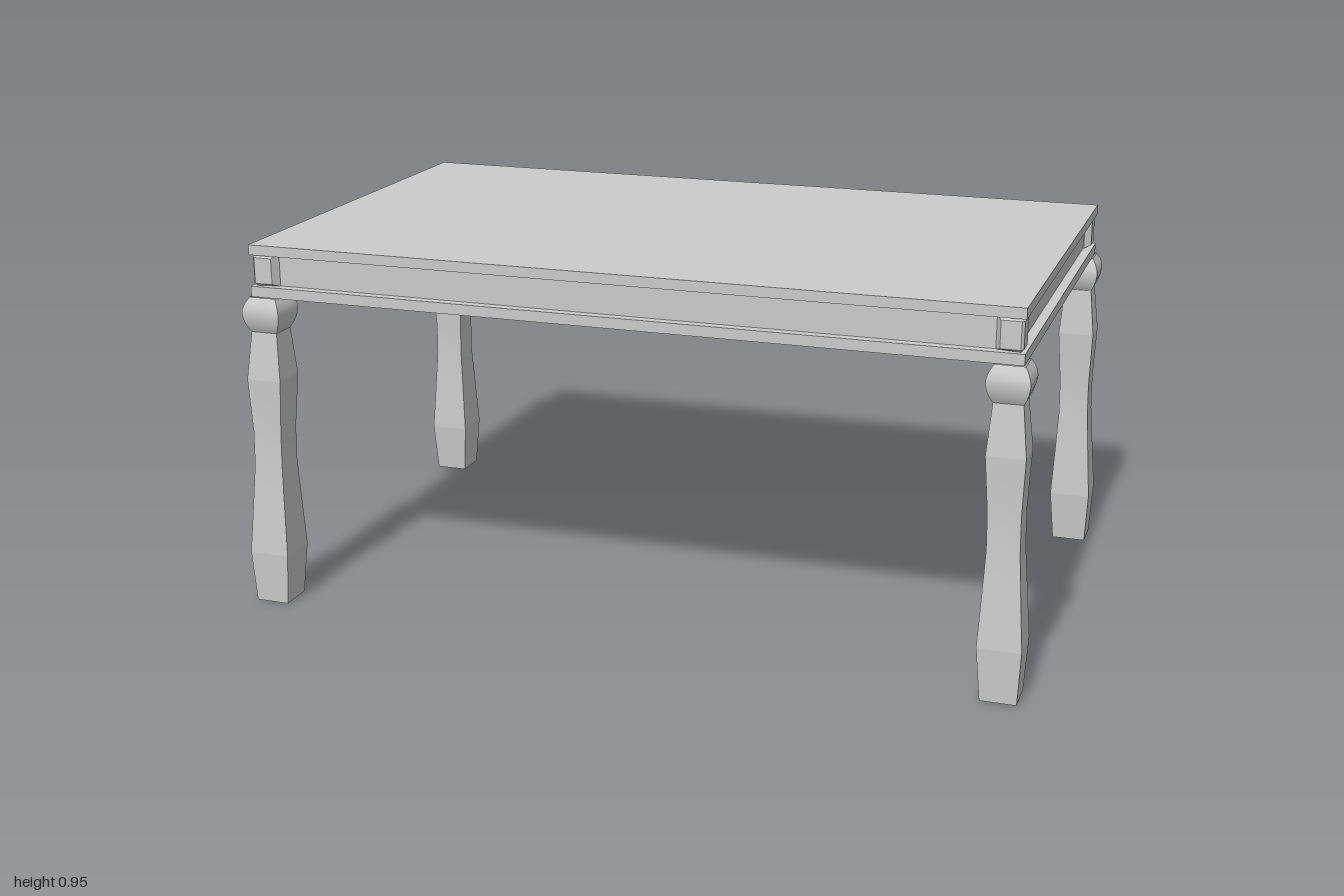
import * as THREE from 'three';
import { toCreasedNormals } from 'three/addons/utils/BufferGeometryUtils.js';
import { ConvexGeometry } from 'three/addons/geometries/ConvexGeometry.js';

const material = new THREE.MeshStandardMaterial({ color: 0xcccccc });
const openMaterial = new THREE.MeshStandardMaterial({ color: 0xcccccc, side: THREE.DoubleSide });

function add(parent, name, geometry, mat = material) {
  const mesh = new THREE.Mesh(geometry, mat);
  mesh.name = name;
  parent.add(mesh);
  return mesh;
}

function slab(parent, name, width, depth, y0, y1) {
  const mesh = add(parent, name, new THREE.BoxGeometry(width, y1 - y0, depth));
  mesh.position.y = (y0 + y1) / 2;
}

// Square turned section from [half width, height] pairs, leaning outward towards the floor
function squareTurning(profile, sx, sz, crease) {
  const points = profile.map(([half, y]) => new THREE.Vector2(half * Math.SQRT2, y));
  const geometry = new THREE.LatheGeometry(points, 4, Math.PI / 4);
  const p = geometry.attributes.position;
  for (let i = 0; i < p.count; i++) {
    const lean = 0.013 * Math.max(0, 1 - p.getY(i) / 0.75);
    p.setX(i, p.getX(i) + sx * (0.938 + lean));
    p.setZ(i, p.getZ(i) + sz * (0.54 + lean));
  }
  return toCreasedNormals(geometry, crease);
}

// Corner block with raised, bevelled faces on its two outer sides
function cornerBlock(sx, sz) {
  const points = [];
  const ring = (y0, y1, corners) => {
    for (const y of [y0, y1]) {
      for (const [x, z] of corners) points.push(new THREE.Vector3(sx * x, y, sz * z));
    }
  };
  ring(0.84, 0.92, [[0.9, 0.5], [0.948, 0.5], [0.9, 0.548], [0.958, 0.558]]);
  ring(0.847, 0.913, [[0.965, 0.514], [0.965, 0.56], [0.912, 0.567], [0.959, 0.567]]);
  return new ConvexGeometry(points);
}

const legProfile = [
  [0.044, 0], [0.053, 0.135], [0.046, 0.25], [0.039, 0.37],
  [0.039, 0.46], [0.0465, 0.6], [0.035, 0.723],
];
const knobProfile = [
  [0.035, 0.723], [0.042, 0.735], [0.048, 0.752], [0.051, 0.77],
  [0.05, 0.783], [0.045, 0.797], [0.036, 0.813],
];

export function createModel() {
  const table = new THREE.Group();
  table.name = 'table';

  // Top, recessed apron and lower moulding
  slab(table, 'tableTop', 1.94, 1.143, 0.92, 0.946);
  slab(table, 'apron', 1.892, 1.092, 0.84, 0.92);
  slab(table, 'lowerBoard', 1.94, 1.143, 0.813, 0.84);

  // Corner blocks and legs
  for (const sx of [-1, 1]) {
    for (const sz of [-1, 1]) {
      const name = (sz > 0 ? 'front' : 'back') + (sx > 0 ? 'Left' : 'Right');
      add(table, name + 'CornerBlock', cornerBlock(sx, sz));
      const leg = new THREE.Group();
      leg.name = name + 'Leg';
      add(leg, 'shaft', squareTurning(legProfile, sx, sz, 0.09), openMaterial);
      add(leg, 'knob', squareTurning(knobProfile, sx, sz, 0.7), openMaterial);
      table.add(leg);
    }
  }
  return table;
}
